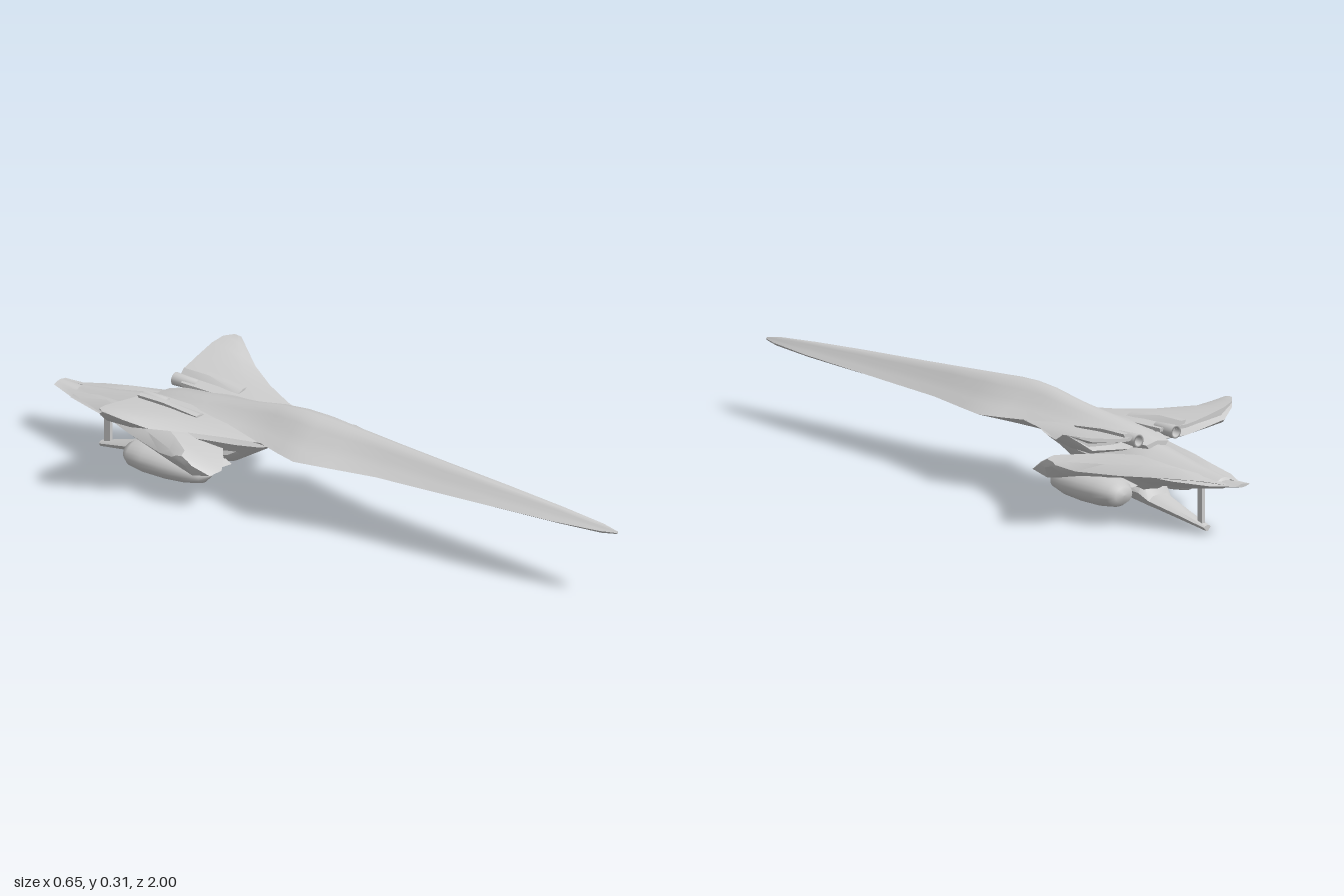
import * as THREE from 'three';
import { toCreasedNormals } from 'three/addons/utils/BufferGeometryUtils.js';

const material = new THREE.MeshStandardMaterial({ color: 0xcccccc, side: THREE.DoubleSide });

// Closed skin over rings of [x, y, z] points, capped at both ends, always facing outwards.
function loft(rings, crease = 0.6) {
  const tris = [];
  const n = rings[0].length;
  for (let i = 0; i + 1 < rings.length; i++) {
    for (let j = 0; j < n; j++) {
      const k = (j + 1) % n;
      const a = rings[i][j], b = rings[i][k], c = rings[i + 1][k], d = rings[i + 1][j];
      tris.push([a, b, c], [a, c, d]);
    }
  }
  for (const [ring, flip] of [[rings[0], true], [rings[rings.length - 1], false]]) {
    const mid = [0, 1, 2].map(c => ring.reduce((s, p) => s + p[c], 0) / n);
    for (let j = 0; j < n; j++) {
      const a = ring[j], b = ring[(j + 1) % n];
      tris.push(flip ? [mid, b, a] : [mid, a, b]);
    }
  }
  let volume = 0;
  for (const [a, b, c] of tris) {
    volume += a[0] * (b[1] * c[2] - b[2] * c[1]) + a[1] * (b[2] * c[0] - b[0] * c[2]) + a[2] * (b[0] * c[1] - b[1] * c[0]);
  }
  if (volume < 0) tris.forEach(t => t.reverse());
  const geo = new THREE.BufferGeometry();
  geo.setAttribute('position', new THREE.Float32BufferAttribute(tris.flat(2), 3));
  return toCreasedNormals(geo, crease);
}

// Body along z: rows are [z, half width, edge y, bottom y, top y];
// profiles are [fraction of half width, fraction of height] from the centre outwards.
function body(rows, topProfile, bottomProfile) {
  return loft(rows.map(([z, w, edge, bottom, top]) => {
    const right = [
      ...topProfile.map(([u, v]) => [u * w, edge + v * (top - edge), z]),
      [w, edge, z],
      ...bottomProfile.map(([u, v]) => [u * w, edge + v * (bottom - edge), z]).reverse(),
    ];
    const left = right.slice(1, -1).reverse().map(([x, y, zz]) => [-x, y, zz]);
    return [...right, ...left];
  }));
}

// Wing across x: rows are [x, leading z, trailing z, bottom y, top y];
// section points are [chord fraction, height fraction].
function wing(rows, section, side) {
  return loft(rows.map(([x, lead, trail, bottom, top]) =>
    section.map(([u, v]) => [side * x, bottom + v * (top - bottom), lead + u * (trail - lead)])));
}

export function createModel() {
  const group = new THREE.Group();
  const add = (name, geometry, parent = group) => {
    const mesh = new THREE.Mesh(geometry, material);
    mesh.name = name;
    parent.add(mesh);
    return mesh;
  };

  // Long needle hull with sharp side edges and a domed spine
  add('hull', body([
    [1.00, 0.004, 0.232, 0.228, 0.236],
    [0.95, 0.020, 0.231, 0.222, 0.246],
    [0.80, 0.043, 0.229, 0.218, 0.259],
    [0.60, 0.062, 0.228, 0.216, 0.273],
    [0.40, 0.078, 0.226, 0.215, 0.285],
    [0.20, 0.095, 0.225, 0.214, 0.298],
    [0.05, 0.130, 0.226, 0.212, 0.307],
    [-0.05, 0.155, 0.228, 0.209, 0.313],
    [-0.12, 0.138, 0.230, 0.204, 0.315],
    [-0.20, 0.115, 0.233, 0.200, 0.309],
    [-0.30, 0.110, 0.235, 0.198, 0.290],
    [-0.45, 0.110, 0.240, 0.200, 0.268],
    [-0.57, 0.075, 0.238, 0.205, 0.252],
    [-0.64, 0.045, 0.225, 0.205, 0.232],
  ], [[0, 1], [0.16, 0.95], [0.32, 0.77], [0.5, 0.48], [0.72, 0.26]], [[0, 1], [0.6, 0.95]]));

  // Rear body slung below the hull, tapering to a blunt tail
  add('rearBody', body([
    [-0.16, 0.040, 0.205, 0.195, 0.215],
    [-0.24, 0.060, 0.185, 0.165, 0.225],
    [-0.32, 0.070, 0.175, 0.115, 0.235],
    [-0.42, 0.085, 0.170, 0.085, 0.235],
    [-0.55, 0.115, 0.165, 0.075, 0.232],
    [-0.63, 0.130, 0.162, 0.080, 0.222],
    [-0.66, 0.128, 0.160, 0.105, 0.217],
    [-0.80, 0.090, 0.155, 0.118, 0.190],
    [-0.92, 0.055, 0.157, 0.142, 0.175],
    [-0.925, 0.050, 0.157, 0.146, 0.167],
    [-1.00, 0.028, 0.166, 0.160, 0.171],
  ], [[0, 1], [0.25, 0.88], [0.5, 0.5], [0.75, 0.2]], [[0, 1], [0.35, 0.85], [0.7, 0.4]]));

  // Keel under the rear body, ending in a thin boom
  add('keel', body([
    [-0.28, 0.020, 0.170, 0.140, 0.190],
    [-0.36, 0.050, 0.125, 0.090, 0.180],
    [-0.48, 0.062, 0.092, 0.055, 0.150],
    [-0.62, 0.058, 0.082, 0.034, 0.120],
    [-0.65, 0.045, 0.060, 0.030, 0.075],
    [-0.75, 0.028, 0.036, 0.015, 0.045],
    [-0.85, 0.013, 0.012, 0.000, 0.018],
  ], [[0, 1], [0.6, 0.8]], [[0, 1], [0.25, 0.95]]));

  // Post bracing the boom against the tail
  const strut = add('keelStrut', new THREE.BoxGeometry(0.012, 0.12, 0.02));
  strut.position.set(0, 0.07, -0.825);

  // Main wing section has a groove along its blunt trailing edge
  const mainSection = [[0, 0.3], [0.35, 0.72], [0.7, 0.95], [1, 1], [1, 0.75], [0.9, 0.6], [0.9, 0.4], [1, 0.2], [0.95, 0], [0.4, 0.05]];
  const bladeSection = [[0, 0.2], [0.2, 0.6], [0.5, 1], [0.8, 0.85], [1, 0.55], [0.75, 0.3], [0.35, 0]];

  for (const [side, label] of [[1, 'left'], [-1, 'right']]) {
    // Raised delta wing with an upswept tip
    add(label + 'MainWing', wing([
      [0.050, -0.15, -0.60, 0.212, 0.252],
      [0.115, -0.20, -0.64, 0.220, 0.260],
      [0.150, -0.29, -0.643, 0.225, 0.265],
      [0.200, -0.39, -0.645, 0.232, 0.274],
      [0.265, -0.49, -0.645, 0.240, 0.287],
      [0.305, -0.55, -0.635, 0.274, 0.296],
      [0.327, -0.585, -0.61, 0.297, 0.300],
    ], mainSection, side));

    // Forward-swept lower blade running back into the tail
    add(label + 'LowerBlade', wing([
      [0.020, -0.40, -0.97, 0.140, 0.180],
      [0.060, -0.37, -0.89, 0.130, 0.198],
      [0.100, -0.34, -0.78, 0.122, 0.196],
      [0.150, -0.31, -0.64, 0.110, 0.188],
      [0.195, -0.32, -0.50, 0.108, 0.181],
      [0.217, -0.37, -0.44, 0.145, 0.172],
    ], bladeSection, side));

    // Rounded engine pod
    const pod = add(label + 'EnginePod', new THREE.LatheGeometry([
      [0, -0.15], [0.55, -0.147], [0.85, -0.125], [1, -0.07], [1, 0], [0.88, 0.07], [0.6, 0.125], [0, 0.15],
    ].map(([r, y]) => new THREE.Vector2(r, y)), 24));
    pod.geometry.scale(0.06, 1, 0.045).rotateX(Math.PI / 2);
    pod.position.set(side * 0.14, 0.095, -0.50);

    // Pylon joining the pod to the keel
    add(label + 'PodPylon', wing([
      [0.03, -0.36, -0.63, 0.075, 0.140],
      [0.08, -0.38, -0.62, 0.075, 0.125],
      [0.15, -0.40, -0.60, 0.070, 0.120],
    ], bladeSection, side));

    // Small open nozzle between wing and tail
    const nozzle = add(label + 'Nozzle', new THREE.LatheGeometry([
      [0, -0.05], [0.016, -0.05], [0.02, 0.03], [0.014, 0.03], [0.012, 0], [0, 0],
    ].map(([r, y]) => new THREE.Vector2(r, y)), 16));
    nozzle.geometry.rotateX(-Math.PI / 2);
    nozzle.position.set(side * 0.075, 0.245, -0.61);

    // Spiked fairing on the wing root
    add(label + 'RootFairing', loft([[-0.42, 0.002], [-0.54, 0.014], [-0.63, 0.014]].map(([z, h]) => [
      [side * 0.085, 0.252, z], [side * 0.105, 0.257 + h, z], [side * 0.125, 0.257 + h, z], [side * 0.115, 0.250, z],
    ])));
  }
  return group;
}
